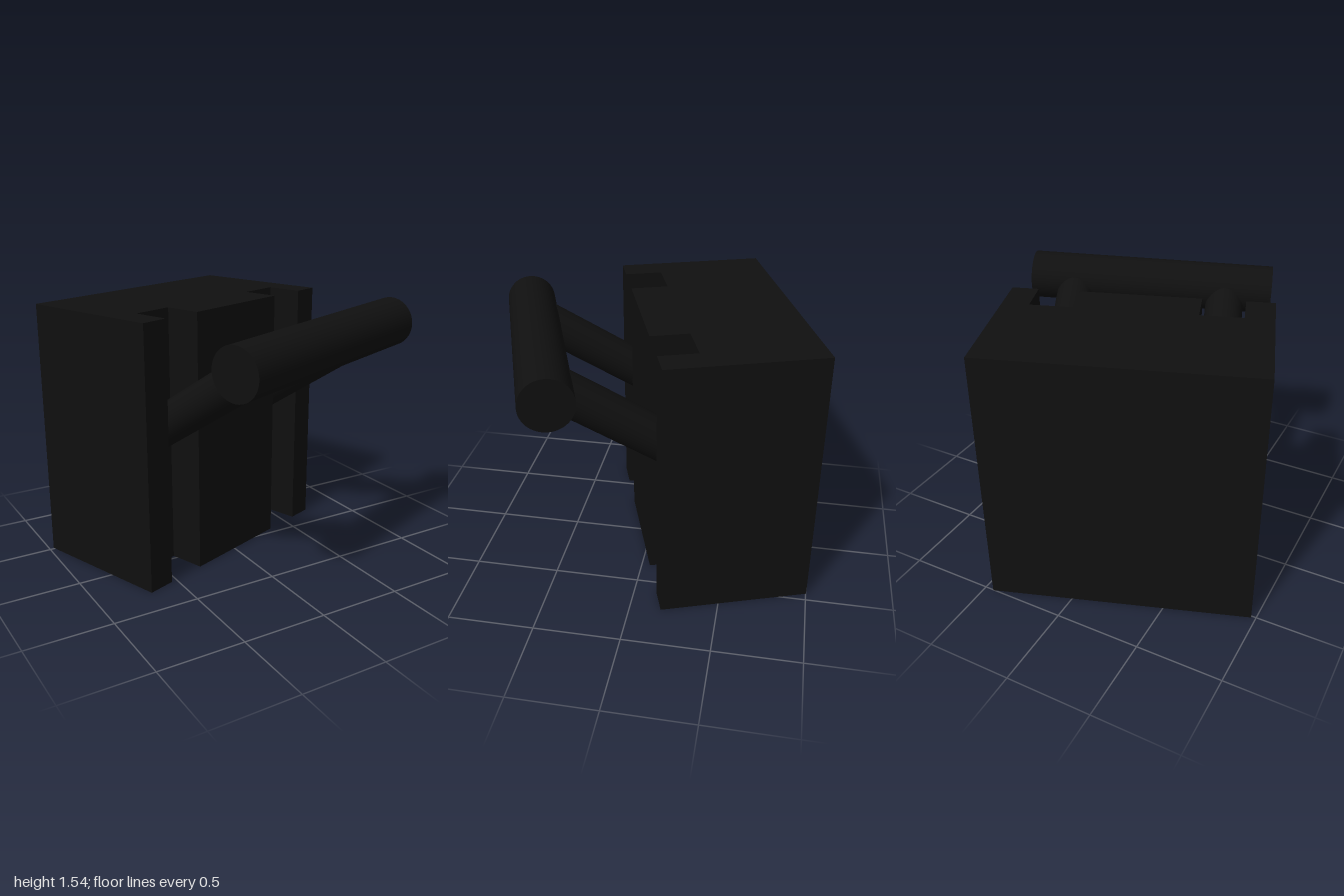
import * as THREE from 'three';

const material = new THREE.MeshStandardMaterial({ color: 0x101010 });

// Round bar running from point a to point b
function rod(name, a, b, radius) {
  const dir = b.clone().sub(a);
  const mesh = new THREE.Mesh(new THREE.CylinderGeometry(radius, radius, dir.length(), 48), material);
  mesh.name = name;
  mesh.position.copy(a).add(b).multiplyScalar(0.5);
  mesh.quaternion.setFromUnitVectors(new THREE.Vector3(0, 1, 0), dir.normalize());
  return mesh;
}

export function createModel() {
  const model = new THREE.Group();
  model.name = 'blockWithHandle';
  const turned = new THREE.Group();
  turned.name = 'turnedAssembly';
  turned.rotation.y = 0.333;
  model.add(turned);

  // Block: plan outline with two grooves in the front, extruded upward
  const back = -0.802, front = 0.068, grooveBack = -0.15, height = 1.54;
  const plan = [
    [-0.753, back], [-0.753, front],
    [-0.589, front], [-0.589, grooveBack], [-0.345, grooveBack], [-0.345, front],
    [0.35, front], [0.35, grooveBack], [0.594, grooveBack], [0.594, front],
    [0.749, front], [0.749, back],
  ];
  const shape = new THREE.Shape(plan.map(([x, z]) => new THREE.Vector2(x, -z)));
  const blockGeometry = new THREE.ExtrudeGeometry(shape, { depth: height, bevelEnabled: false });
  blockGeometry.rotateX(-Math.PI / 2);
  const block = new THREE.Mesh(blockGeometry, material);
  block.name = 'groovedBlock';
  turned.add(block);

  // Handle bar, very slightly tilted
  const barLeft = new THREE.Vector3(-0.73, 1.365, 0.654);
  const barRight = new THREE.Vector3(0.758, 1.395, 0.634);
  turned.add(rod('handleBar', barLeft, barRight, 0.145));

  // Sloping arms from the back of each groove up to the bar
  for (const [name, x, y] of [['rightArm', -0.45, 0.815], ['leftArm', 0.485, 0.835]]) {
    const t = (x - barLeft.x) / (barRight.x - barLeft.x);
    const top = barLeft.clone().lerp(barRight, t);
    turned.add(rod(name, new THREE.Vector3(x, y, -0.2), top, 0.116));
  }
  return model;
}
